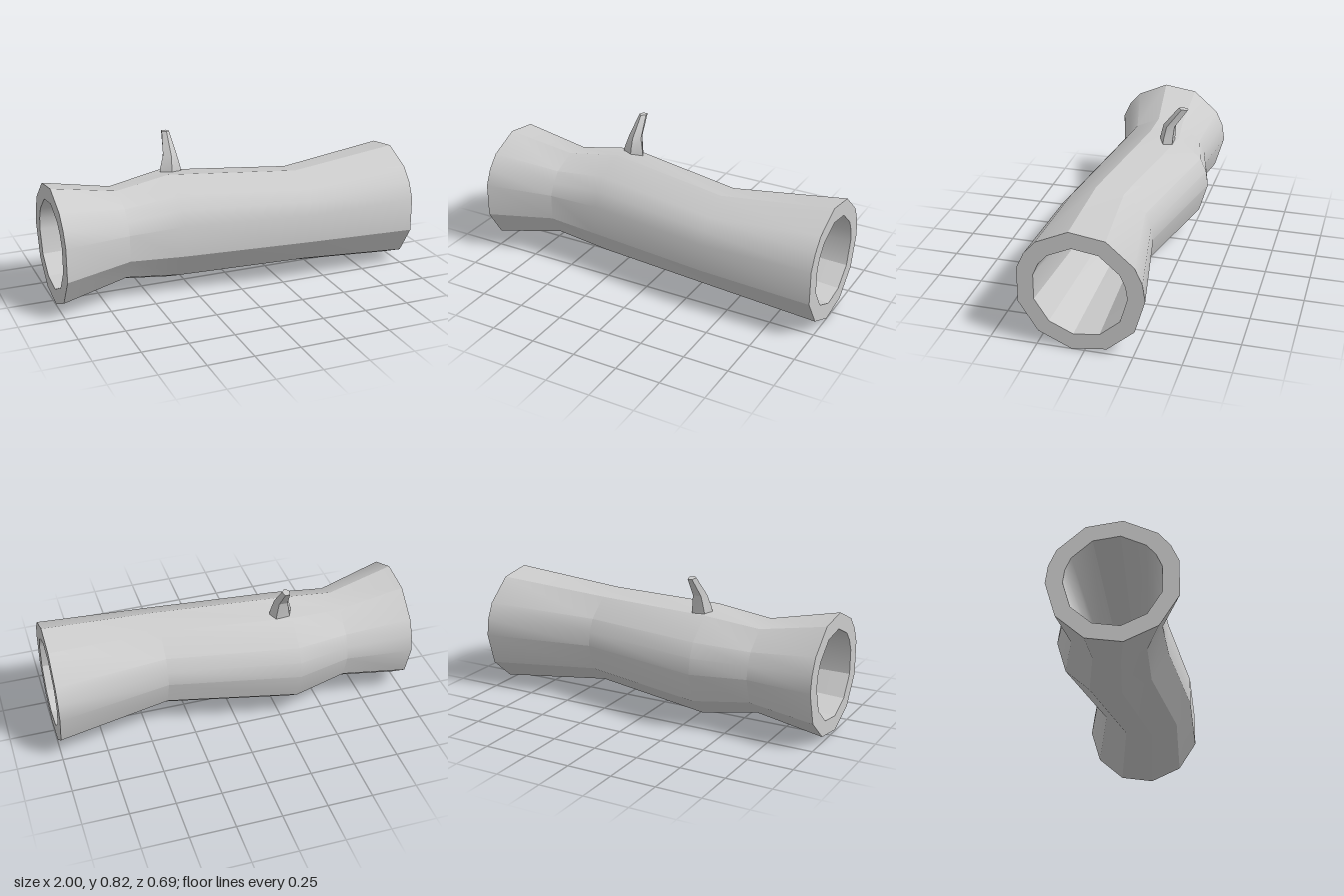
import * as THREE from 'three';
import { toCreasedNormals } from 'three/addons/utils/BufferGeometryUtils.js';

const material = new THREE.MeshStandardMaterial({ color: 0xcccccc });

// Skin a list of closed rings (arrays of [x, y, z]) into one surface
function loft(rings, name) {
  const n = rings[0].length;
  const index = [];
  for (let i = 0; i < rings.length - 1; i++) {
    for (let j = 0; j < n; j++) {
      const a = i * n + j, d = i * n + (j + 1) % n;
      const b = a + n, c = d + n;
      index.push(a, b, d, b, c, d);
    }
  }
  const geometry = new THREE.BufferGeometry();
  geometry.setAttribute('position', new THREE.Float32BufferAttribute(rings.flat(2), 3));
  geometry.setIndex(index);
  const mesh = new THREE.Mesh(toCreasedNormals(geometry, THREE.MathUtils.degToRad(28)), material);
  mesh.name = name;
  return mesh;
}

// Eleven-sided section, with one extra corner rounding each flank
const step = (Math.PI * 2) / 11;
const angles = [0.5, 1, 1.5, 2.5, 3.5, 4.5, 5, 5.5, 6.5, 7.5, 8.5, 9.5, 10.5].map((k) => k * step);

const logRing = ([x, y, z, r]) =>
  angles.map((a) => [x, y + r * Math.sin(a), z + r * Math.cos(a)]);

const twigRing = ([x, y, z, rx, rz, tilt]) =>
  Array.from({ length: 5 }, (_, k) => {
    const a = (k / 5) * Math.PI * 2;
    return [x - rx * Math.sin(a), y + tilt * Math.cos(a), z + rz * Math.cos(a)];
  });

export function createModel() {
  const group = new THREE.Group();
  group.name = 'hollowLog';

  // Log: left hollow, bark, right hollow; x, y, z, radius
  group.add(loft([
    [-0.01, 0.345, 0.01, 0],
    [-0.01, 0.345, 0.01, 0.175],
    [-1, 0.336, 0.02, 0.245],
    [-1, 0.337, 0.02, 0.331],
    [-0.63, 0.335, -0.013, 0.257],
    [-0.33, 0.335, -0.042, 0.303],
    [0.38, 0.335, 0.075, 0.272],
    [1, 0.334, 0.022, 0.334],
    [1, 0.334, 0.022, 0.245],
    [0.01, 0.345, 0.01, 0.175],
    [0.01, 0.345, 0.01, 0],
  ].map(logRing), 'log'));

  // Twig: bent five-sided stub; x, y, z, half width, half depth, tilt
  group.add(loft([
    [-0.283, 0.6, -0.113, 0.066, 0.044, 0.01],
    [-0.283, 0.635, -0.115, 0.062, 0.042, 0.01],
    [-0.28, 0.71, -0.127, 0.041, 0.038, 0],
    [-0.275, 0.819, -0.206, 0.022, 0.03, 0.003],
    [-0.275, 0.819, -0.206, 0, 0, 0],
  ].map(twigRing), 'twig'));

  return group;
}
